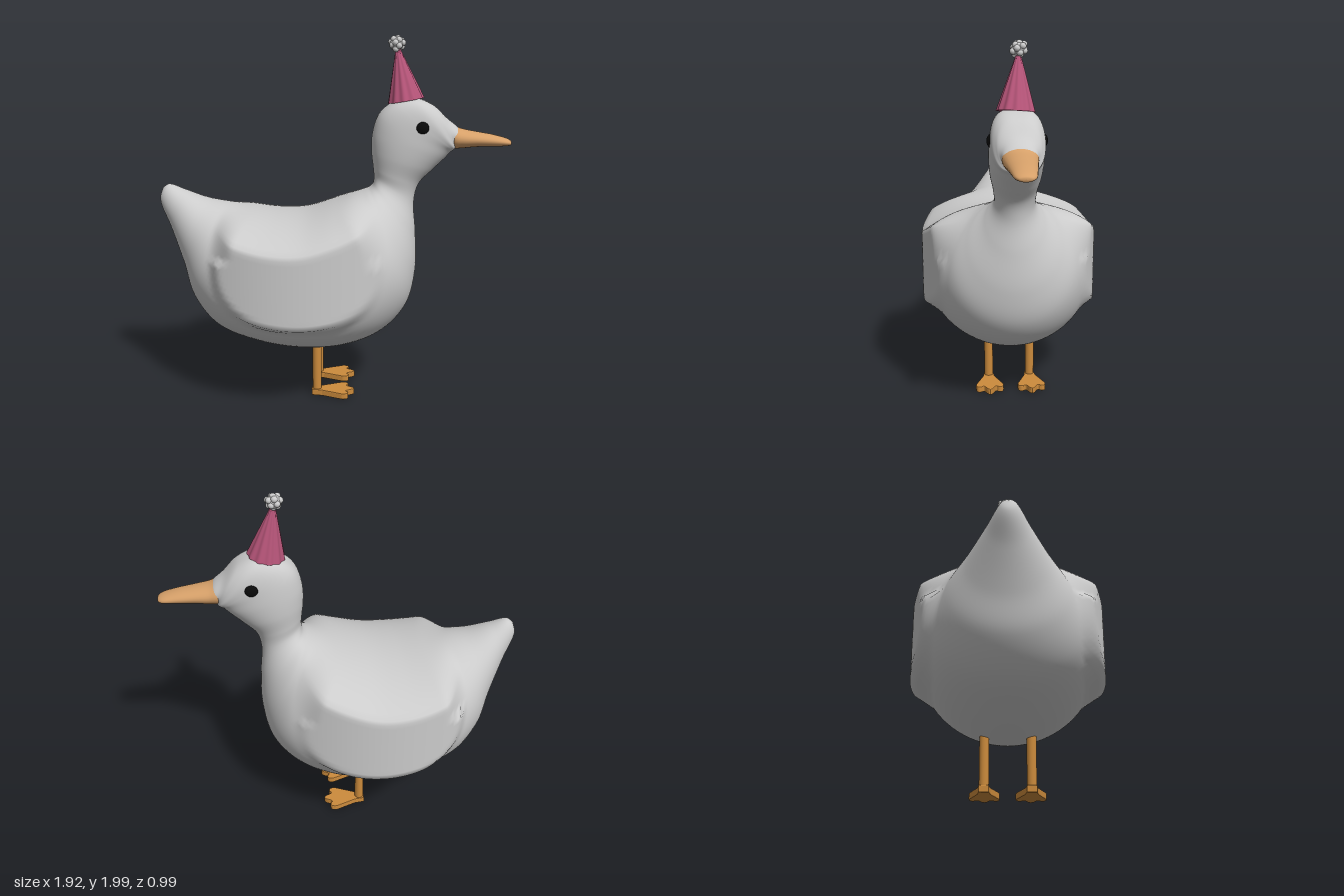
import * as THREE from 'three';

const grey = new THREE.MeshStandardMaterial({ color: 0xcccccc });
const beakMat = new THREE.MeshStandardMaterial({ color: 0xd6a069 });
const legMat = new THREE.MeshStandardMaterial({ color: 0xcc8b3c });
const hatMat = new THREE.MeshStandardMaterial({ color: 0xb55478 });
const black = new THREE.MeshStandardMaterial({ color: 0x0a0a0a });

function add(parent, name, geometry, material, x = 0, y = 0, z = 0) {
  const mesh = new THREE.Mesh(geometry, material);
  mesh.name = name;
  mesh.position.set(x, y, z);
  parent.add(mesh);
  return mesh;
}

// Skin over oval rings; each ring is [topX, topY, bottomX, bottomY, halfWidth, roundness].
// Roundness below 1 makes the oval boxier.
function loft(rings, steps, sides) {
  const tops = new THREE.CatmullRomCurve3(rings.map(r => new THREE.Vector3(r[0], r[1], r[4])));
  const bottoms = new THREE.CatmullRomCurve3(rings.map(r => new THREE.Vector3(r[2], r[3], r[5] ?? 1)));
  const pos = [], index = [];
  for (let i = 0; i <= steps; i++) {
    const t = tops.getPoint(i / steps), b = bottoms.getPoint(i / steps);
    for (let j = 0; j < sides; j++) {
      const a = (j / sides) * Math.PI * 2, k = (1 + Math.cos(a)) / 2, s = Math.sin(a);
      pos.push(b.x + (t.x - b.x) * k, b.y + (t.y - b.y) * k,
        Math.max(t.z, 0) * Math.sign(s) * Math.abs(s) ** b.z);
      if (i < steps) {
        const p = i * sides + j, q = i * sides + (j + 1) % sides;
        index.push(p, q, p + sides, q, q + sides, p + sides);
      }
    }
  }
  const g = new THREE.BufferGeometry();
  g.setAttribute('position', new THREE.Float32BufferAttribute(pos, 3));
  g.setIndex(index);
  g.computeVertexNormals();
  return g;
}

// Push the flanks out into folded wings: crisp along the lower edge, fading into the back
function raiseWings(g, sides) {
  const p = g.attributes.position;
  for (let i = 0; i < p.count; i++) {
    const x = p.getX(i), y = p.getY(i), z = p.getZ(i);
    const u = Math.abs(x + 0.18) / 0.47, v = (y - 0.85) / 0.385;
    const d = (u ** 2.5 + Math.abs(v) ** 2.5) ** 0.4;
    const mask = 1 - THREE.MathUtils.smoothstep(d, v < 0 ? 0.86 : 0.7, 1);
    const s = Math.sin((i % sides) / sides * Math.PI * 2);
    const width = (0.495 - 0.55 * (x + 0.2) ** 2) * Math.min(1, 1.3 * Math.abs(s));
    p.setZ(i, z + Math.sign(s) * mask * Math.max(0, width - Math.abs(z)));
  }
  g.computeVertexNormals();
  return g;
}

// Webbed foot with three scalloped toes, heel at -x
function footGeometry() {
  const s = new THREE.Shape();
  s.moveTo(-0.115, -0.022);
  s.lineTo(-0.06, -0.03);
  s.lineTo(0.05, -0.075);
  s.quadraticCurveTo(0.09, -0.078, 0.08, -0.05);
  s.quadraticCurveTo(0.06, -0.035, 0.085, -0.022);
  s.quadraticCurveTo(0.145, 0, 0.085, 0.022);
  s.quadraticCurveTo(0.06, 0.035, 0.08, 0.05);
  s.quadraticCurveTo(0.09, 0.078, 0.05, 0.075);
  s.lineTo(-0.06, 0.03);
  s.lineTo(-0.115, 0.022);
  const g = new THREE.ExtrudeGeometry(s, {
    depth: 0.024, bevelEnabled: true, bevelSize: 0.004, bevelThickness: 0.006, bevelSegments: 2, curveSegments: 6,
  });
  return g.rotateX(-Math.PI / 2).translate(0, 0.01, 0);
}

// Pleated paper cone
function hatGeometry() {
  const g = new THREE.CylinderGeometry(0.008, 0.1, 0.29, 96, 6);
  const p = g.attributes.position;
  for (let i = 0; i < p.count; i++) {
    const a = Math.atan2(p.getZ(i), p.getX(i));
    const f = 0.96 + 0.04 * Math.cos(a * 11);
    p.setXYZ(i, p.getX(i) * f, p.getY(i), p.getZ(i) * f);
  }
  g.computeVertexNormals();
  return g;
}

export function createModel() {
  const duck = new THREE.Group();
  duck.name = 'duck';

  // One skin from tail tip through belly, breast and neck to the face
  const body = loft([
    [-0.945, 1.165, -0.945, 1.165, 0],
    [-0.91, 1.187, -0.96, 1.10, 0.04],
    [-0.82, 1.155, -0.90, 0.94, 0.11],
    [-0.70, 1.11, -0.83, 0.74, 0.205],
    [-0.58, 1.085, -0.775, 0.56, 0.30],
    [-0.45, 1.06, -0.64, 0.40, 0.39],
    [-0.30, 1.042, -0.40, 0.31, 0.45],
    [-0.15, 1.05, -0.15, 0.275, 0.46],
    [0.00, 1.10, 0.08, 0.295, 0.45],
    [0.10, 1.14, 0.28, 0.38, 0.40],
    [0.17, 1.165, 0.41, 0.53, 0.335],
    [0.20, 1.18, 0.455, 0.72, 0.25],
    [0.217, 1.205, 0.452, 0.93, 0.16],
    [0.22, 1.24, 0.44, 1.10, 0.108],
    [0.215, 1.29, 0.465, 1.20, 0.112],
    [0.205, 1.38, 0.54, 1.28, 0.13],
    [0.21, 1.48, 0.60, 1.34, 0.138, 0.9],
    [0.245, 1.58, 0.63, 1.375, 0.138, 0.75],
    [0.32, 1.64, 0.645, 1.388, 0.136, 0.6],
    [0.43, 1.662, 0.65, 1.395, 0.13, 0.55],
    [0.53, 1.628, 0.655, 1.398, 0.11, 0.65],
    [0.61, 1.555, 0.66, 1.40, 0.09, 0.9],
    [0.67, 1.505, 0.68, 1.41, 0.07],
    [0.69, 1.45, 0.69, 1.45, 0],
  ], 200, 80);
  add(duck, 'bodyHeadAndWings', raiseWings(body, 80), grey);

  // Beak
  add(duck, 'beak', loft([
    [0.60, 1.45, 0.60, 1.45, 0],
    [0.63, 1.52, 0.64, 1.395, 0.084],
    [0.69, 1.50, 0.69, 1.395, 0.083],
    [0.77, 1.484, 0.77, 1.402, 0.073],
    [0.86, 1.468, 0.86, 1.404, 0.062],
    [0.93, 1.449, 0.93, 1.407, 0.05],
    [0.953, 1.437, 0.953, 1.412, 0.032],
    [0.958, 1.424, 0.958, 1.424, 0],
  ], 48, 28), beakMat);

  // Paired eyes and legs
  for (const side of [1, -1]) {
    const label = side > 0 ? 'front' : 'back';
    const eye = add(duck, label + 'Eye', new THREE.SphereGeometry(1, 24, 16), black, 0.47, 1.517, side * 0.125);
    eye.scale.set(0.037, 0.035, 0.025);

    const leg = new THREE.Group();
    leg.name = label + 'Leg';
    leg.position.set(-0.09, 0, side * 0.12);
    add(leg, 'shin', new THREE.CylinderGeometry(0.025, 0.025, 0.34, 20), legMat, 0, 0.19, 0);
    add(leg, 'foot', footGeometry(), legMat, 0.09, 0, 0);
    duck.add(leg);
  }

  // Party hat, tipped back, with a knobbly pompom
  const hat = new THREE.Group();
  hat.name = 'partyHat';
  hat.position.set(0.387, 1.65, 0);
  hat.rotation.set(-0.06, 0, 0.175);
  add(hat, 'cone', hatGeometry(), hatMat, 0, 0.143, 0);
  const pompom = new THREE.Group();
  pompom.name = 'pompom';
  pompom.position.y = 0.303;
  add(pompom, 'core', new THREE.SphereGeometry(0.037, 20, 14), grey);
  const knobs = 16;
  for (let i = 0; i < knobs; i++) {
    const y = 1 - (2 * i + 1) / knobs, r = Math.sqrt(1 - y * y), a = i * 2.4;
    const d = 0.031 + 0.003 * (i % 3 - 1);
    add(pompom, 'tuft', new THREE.IcosahedronGeometry(0.017, 2), grey, d * r * Math.cos(a), d * y, d * r * Math.sin(a));
  }
  hat.add(pompom);
  duck.add(hat);

  return duck;
}
